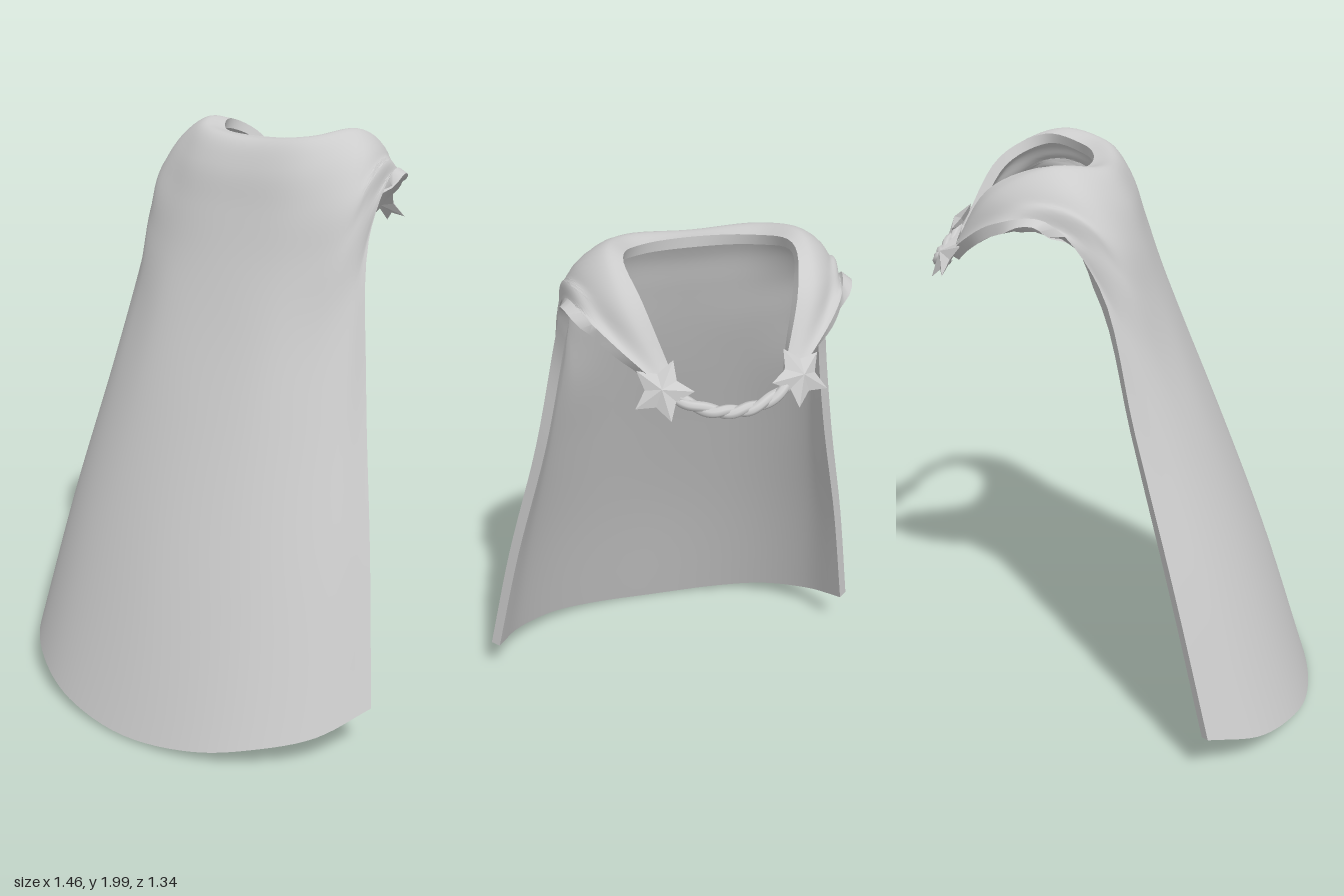
import * as THREE from 'three';
import { toCreasedNormals } from 'three/addons/utils/BufferGeometryUtils.js';

const V = (x, y, z) => new THREE.Vector3(x, y, z);

// Half cross-sections of the cloth, centre to side edge, from neckline to hem
const ROWS = [
  [[0, 1.96, -0.13], [0.18, 1.965, -0.17], [0.26, 1.985, -0.3], [0.235, 1.91, -0.46], [0.16, 1.69, -0.59]],
  [[0, 1.955, -0.06], [0.22, 1.975, -0.1], [0.31, 1.995, -0.25], [0.3, 1.905, -0.44], [0.19, 1.69, -0.595]],
  [[0, 1.87, 0], [0.24, 1.885, -0.03], [0.385, 1.925, -0.17], [0.365, 1.9, -0.36], [0.28, 1.76, -0.54]],
  [[0, 1.74, 0.045], [0.24, 1.745, 0.025], [0.405, 1.79, -0.06], [0.425, 1.89, -0.22], [0.38, 1.84, -0.43]],
  [[0, 1.58, 0.1], [0.23, 1.58, 0.08], [0.39, 1.62, 0.01], [0.435, 1.73, -0.08], [0.435, 1.86, -0.27]],
  [[0, 1.38, 0.175], [0.23, 1.38, 0.155], [0.385, 1.4, 0.08], [0.445, 1.48, 0], [0.45, 1.66, -0.11]],
  [[0, 1.06, 0.305], [0.24, 1.065, 0.275], [0.405, 1.08, 0.2], [0.495, 1.12, 0.11], [0.525, 1.2, 0]],
  [[0, 0.58, 0.485], [0.255, 0.59, 0.45], [0.435, 0.61, 0.375], [0.57, 0.64, 0.26], [0.64, 0.67, 0.13]],
  [[0, 0.015, 0.665], [0.28, 0.04, 0.63], [0.47, 0.08, 0.55], [0.63, 0.12, 0.42], [0.73, 0.18, 0.24]],
];

// Closed cloth shell: outer sheet, inner sheet set back by the thickness, and a wall round the border
function clothGeometry() {
  const nu = 48, nv = 48, thickness = 0.035;
  const spline = (pts) => new THREE.CatmullRomCurve3(pts, false, 'centripetal');
  const rows = ROWS.map((row) => spline([
    ...row.slice(1).reverse().map(([x, y, z]) => V(-x, y, z)),
    ...row.map(([x, y, z]) => V(x, y, z)),
  ]));
  const id = (j, i) => j * (nv + 1) + i;
  const count = (nu + 1) * (nv + 1);
  const positions = [], outer = [], inner = [], wall = [], border = [];
  for (let j = 0; j <= nu; j++) {
    const column = spline(rows.map((r) => r.getPoint(j / nu)));
    for (let i = 0; i <= nv; i++) positions.push(...column.getPoint(i / nv).toArray());
  }
  for (let j = 0; j < nu; j++) {
    for (let i = 0; i < nv; i++) {
      const a = id(j, i), b = id(j, i + 1), c = id(j + 1, i), d = id(j + 1, i + 1);
      outer.push(a, b, c, c, b, d);
      inner.push(...[a, c, b, c, d, b].map((k) => k + count));
    }
  }
  for (let i = 0; i < nv; i++) border.push(id(0, i));
  for (let j = 0; j < nu; j++) border.push(id(j, nv));
  for (let i = nv; i > 0; i--) border.push(id(nu, i));
  for (let j = nu; j > 0; j--) border.push(id(j, 0));
  border.forEach((a, k) => {
    const b = border[(k + 1) % border.length];
    wall.push(b, a, a + count, b, a + count, b + count);
  });

  const sheet = new THREE.BufferGeometry();
  sheet.setAttribute('position', new THREE.Float32BufferAttribute(positions, 3));
  sheet.setIndex(outer);
  sheet.computeVertexNormals();
  const normals = sheet.attributes.normal.array;
  const shell = new THREE.BufferGeometry();
  const all = [...positions, ...positions.map((p, k) => p - normals[k] * thickness)];
  shell.setAttribute('position', new THREE.Float32BufferAttribute(all, 3));
  shell.setIndex([...outer, ...inner, ...wall]);
  return toCreasedNormals(shell, Math.PI / 3.5);
}

// Faceted five-pointed star with a raised centre, facing +z
function starGeometry(radius, depth) {
  const rim = (k) => {
    const r = k % 2 ? radius * 0.54 : radius, a = Math.PI / 2 + (k * Math.PI) / 5;
    return [Math.cos(a) * r, Math.sin(a) * r, 0];
  };
  const p = [];
  for (let k = 0; k < 10; k++) {
    p.push(0, 0, depth, ...rim(k), ...rim(k + 1));
    p.push(0, 0, -depth * 0.6, ...rim(k + 1), ...rim(k));
  }
  const g = new THREE.BufferGeometry();
  g.setAttribute('position', new THREE.Float32BufferAttribute(p, 3));
  g.computeVertexNormals();
  return g;
}

// One strand of the twisted neck cord
function strandGeometry(phase) {
  const path = new THREE.CatmullRomCurve3([
    V(-0.2, 1.685, -0.59), V(-0.13, 1.65, -0.627), V(-0.06, 1.63, -0.648), V(0, 1.625, -0.652),
    V(0.06, 1.63, -0.648), V(0.13, 1.65, -0.627), V(0.2, 1.685, -0.59),
  ]);
  const pts = [];
  for (let i = 0; i <= 60; i++) {
    const t = i / 60, a = phase + t * Math.PI * 6;
    const side = path.getTangent(t).cross(V(0, 1, 0)).normalize();
    pts.push(path.getPoint(t).addScaledVector(side, Math.cos(a) * 0.006).add(V(0, Math.sin(a) * 0.006, 0)));
  }
  return new THREE.TubeGeometry(new THREE.CatmullRomCurve3(pts), 90, 0.016, 8);
}

export function createModel() {
  const group = new THREE.Group();
  group.name = 'cape';
  const grey = new THREE.MeshStandardMaterial({ color: 0xcccccc });
  grey.name = 'light grey';
  const add = (name, geometry) => {
    const mesh = new THREE.Mesh(geometry, grey);
    mesh.name = name;
    group.add(mesh);
    return mesh;
  };

  add('cloth', clothGeometry());

  // Star clasps at the ends of the collar
  for (const s of [-1, 1]) {
    const star = add(s > 0 ? 'leftStarClasp' : 'rightStarClasp', starGeometry(0.095, 0.03));
    star.position.set(s * 0.208, 1.69, -0.6);
    star.lookAt(s * 0.408, 2.25, -1.4);
    star.rotateZ(Math.PI + s * 0.3);
  }

  // Twisted cord joining the clasps
  add('cordStrandA', strandGeometry(0));
  add('cordStrandB', strandGeometry(Math.PI));
  return group;
}
